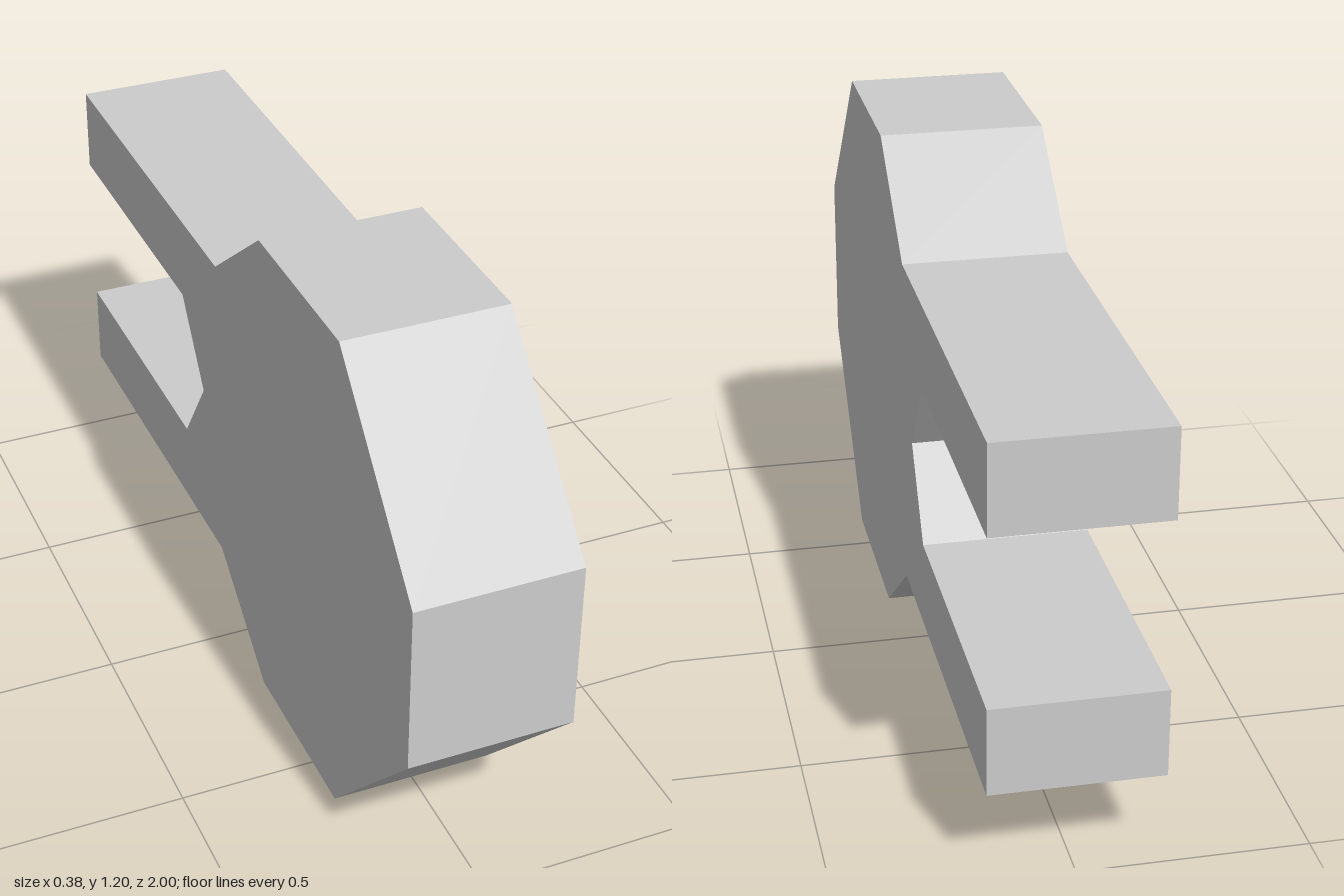
import * as THREE from 'three';

export function createModel() {
  const group = new THREE.Group();
  const grey = new THREE.MeshStandardMaterial({ color: 0xcccccc });
  grey.name = 'light grey';
  grey.flatShading = true;

  const midY = 0.6;
  const width = 0.375;

  // Upper half of the side profile as [z, height above the middle], front to notch
  const half = [
    [1, 0.2], [0.63, 0.6], [0.2, 0.6], [-0.07, 0.39],
    [-1, 0.39], [-1, 0.19], [-0.3, 0.19],
  ];
  const lower = half.map(([z, h]) => [z, -h]).reverse();
  const outline = [...half, [-0.17, 0], ...lower]
    .map(([z, h]) => new THREE.Vector2(z, midY + h));

  // Body with two prongs, extruded across x
  const bodyGeo = new THREE.ExtrudeGeometry(new THREE.Shape(outline), {
    depth: width, bevelEnabled: false,
  });
  bodyGeo.translate(0, 0, -width / 2);
  bodyGeo.rotateY(-Math.PI / 2);
  const body = new THREE.Mesh(bodyGeo, grey);
  body.name = 'prongedBody';
  group.add(body);

  // Eight-sided pin in the notch, pointing backwards
  const pin = new THREE.Group();
  pin.name = 'pin';
  const radius = 0.11;
  const addPart = (name, geo, z) => {
    geo.rotateX(-Math.PI / 2); // +y becomes -z
    const mesh = new THREE.Mesh(geo, grey);
    mesh.name = name;
    mesh.position.set(0, midY, z);
    pin.add(mesh);
  };
  addPart('pinShaft', new THREE.CylinderGeometry(radius, radius, 0.24, 8, 1, true), -0.28);
  addPart('pinTip', new THREE.ConeGeometry(radius, 0.155, 8, 1, true), -0.4775);
  group.add(pin);

  return group;
}
